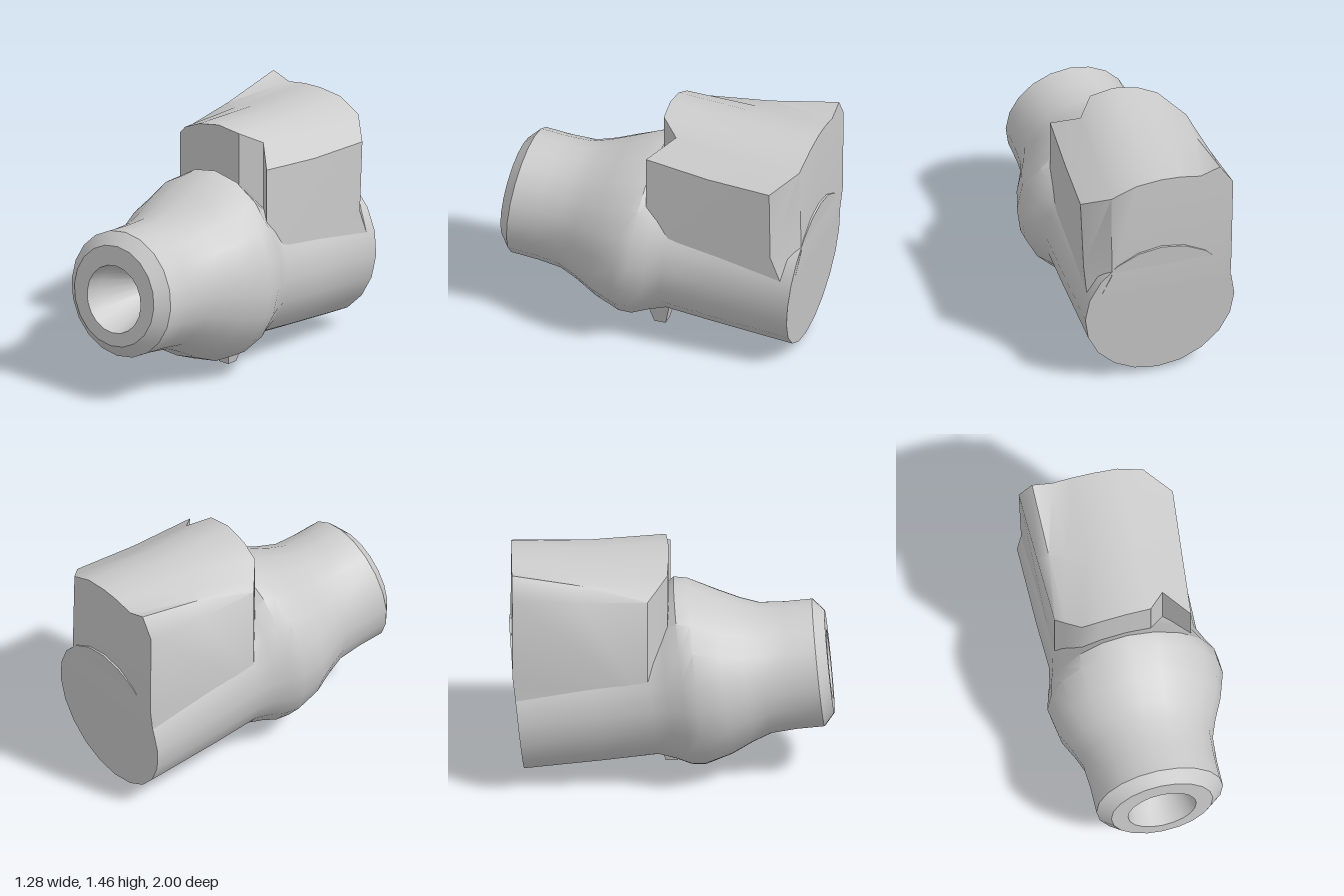
import * as THREE from 'three';
import { toCreasedNormals } from 'three/addons/utils/BufferGeometryUtils.js';

const material = new THREE.MeshStandardMaterial({ color: 0xcccccc, side: THREE.DoubleSide });
const YAW = -0.27, AXIS_X = -0.045;

function addMesh(parent, name, geometry, crease) {
  const mesh = new THREE.Mesh(toCreasedNormals(geometry, crease), material);
  mesh.name = name;
  parent.add(mesh);
  return mesh;
}

// Turned barrel: solid back end, swollen collar, necked nose with a tapered bore
function barrelGeometry() {
  const profile = [
    [0, -0.89], [0.458, -0.89], [0.455, -0.4], [0.45, -0.1],
    [0.49, 0.0], [0.535, 0.09], [0.54, 0.17], [0.49, 0.33], [0.43, 0.46],
    [0.39, 0.57], [0.38, 0.72], [0.38, 0.885],
    [0.305, 0.95], [0.205, 0.95], [0.185, 0.86], [0.09, 0.6], [0, 0.6],
  ].map(([r, w]) => new THREE.Vector2(r, w));
  const geometry = new THREE.LatheGeometry(profile, 20);
  geometry.rotateX(Math.PI / 2);
  const p = geometry.attributes.position;
  for (let i = 0; i < p.count; i++) {
    const x = p.getX(i), y = p.getY(i), z = p.getZ(i);
    // the collar is fuller on top and flatter on its right
    const swell = Math.exp(-(((z - 0.08) / 0.13) ** 2));
    if (y > 0) p.setY(i, y * (1 + 0.12 * swell));
    if (x < 0) p.setX(i, x * (1 - 0.08 * swell));
    // the bore sits slightly below the nose centre
    if (z > 0.5 && Math.hypot(x, y) < 0.21) p.setY(i, y - 0.02);
  }
  return geometry;
}

// Arched block: each column runs up the front, along the top and down the back
function blockGeometry() {
  const front = [
    [0.384, 1.28, 0.018], [0.242, 1.375, -0.119], [0.148, 1.44, -0.01], [0, 1.46, 0],
    [-0.15, 1.43, 0], [-0.267, 1.375, -0.009], [-0.35, 1.31, -0.08], [-0.404, 1.27, -0.127],
  ];
  const back = [
    [0.451, 1.235, -0.769], [0.305, 1.33, -0.905], [0.15, 1.4, -0.92], [0, 1.415, -0.92],
    [-0.12, 1.41, -0.92], [-0.24, 1.39, -0.92], [-0.36, 1.43, -0.92], [-0.44, 1.31, -0.92],
  ];
  const rows = 6;
  const points = [], index = [];
  front.forEach((f, i) => {
    const b = back[i];
    const u = Math.max(-0.43, Math.min(0.432, b[0]));
    const middle = f.map((c, k) => (c + b[k]) / 2 - (k === 1 ? 0.015 : 0));
    const waistW = i === 0 ? b[2] : -0.918;
    points.push([f[0], 0.6, f[2]], f, middle, b, [u, 0.79, waistW], [u, 0.5, -0.885]);
  });
  const last = (front.length - 1) * rows;
  for (let r = 0; r < rows - 1; r++) {
    for (let a = r; a < last; a += rows) {
      index.push(a, a + 1, a + rows, a + rows, a + 1, a + rows + 1);
    }
    // side walls
    if (r > 0) index.push(0, r + 1, r, last, last + r, last + r + 1);
  }
  const geometry = new THREE.BufferGeometry();
  geometry.setAttribute('position', new THREE.Float32BufferAttribute(points.flat(), 3));
  geometry.setIndex(index);
  geometry.computeVertexNormals();
  return geometry;
}

export function createModel() {
  const model = new THREE.Group();
  model.name = 'nozzleFitting';

  // Barrel turned sideways and tipped up at the nose
  const barrel = addMesh(model, 'barrel', barrelGeometry(), 0.6);
  barrel.position.set(AXIS_X, 0.575, 0);
  barrel.rotation.set(-0.1, YAW, 0, 'YXZ');

  // Block turned the same way but kept upright
  const block = addMesh(model, 'topBlock', blockGeometry(), 0.75);
  block.position.x = AXIS_X;
  block.rotation.y = YAW;

  // Small tapered lug under the collar
  const lug = addMesh(model, 'bottomLug', new THREE.CylinderGeometry(0.1, 0.05, 0.14, 4), 0.3);
  lug.position.set(0.035, 0.07, 0.045);
  lug.rotation.y = 0.5;
  return model;
}
